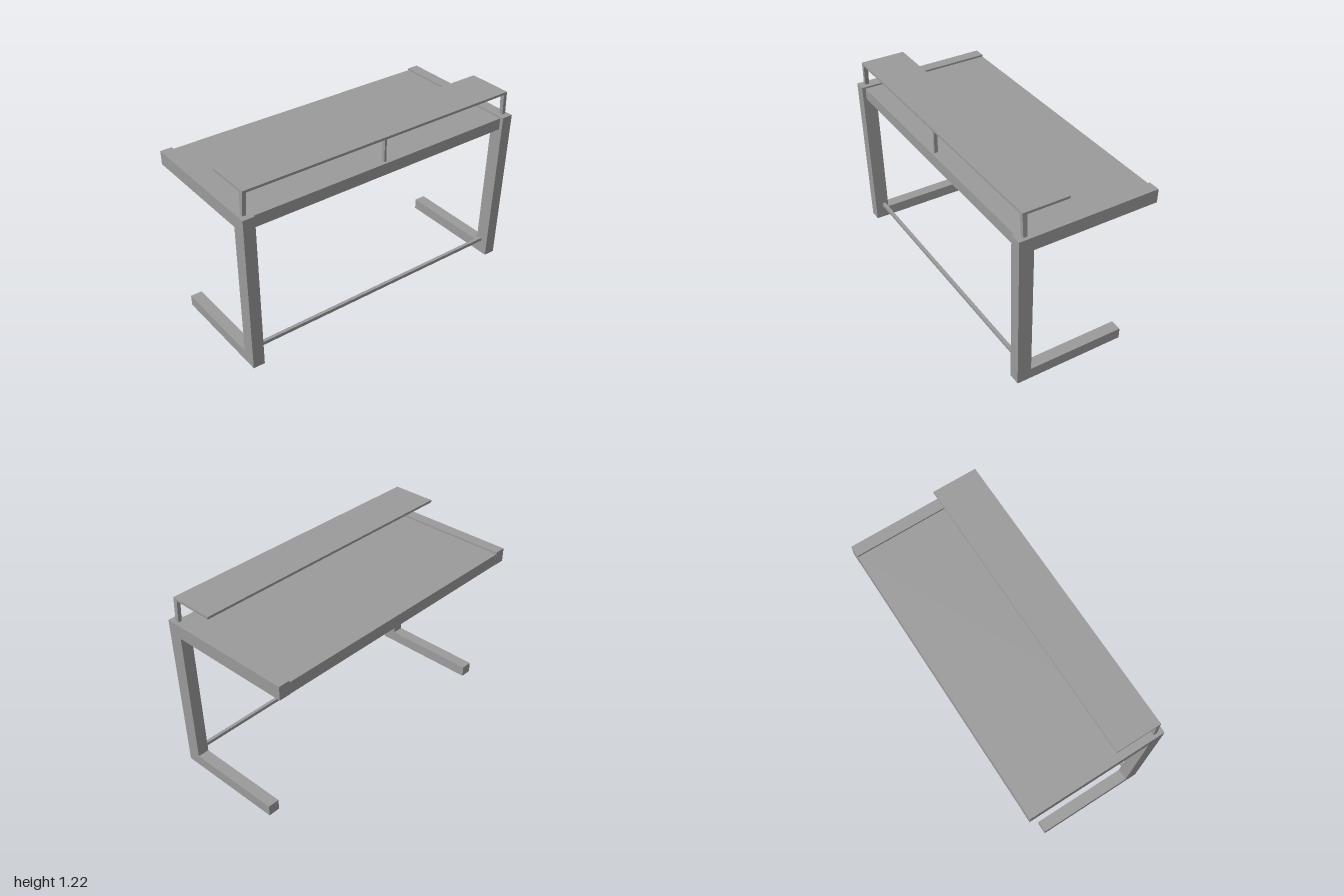
import * as THREE from 'three';

export function createModel() {
  const desk = new THREE.Group();
  desk.name = 'desk';
  const material = new THREE.MeshStandardMaterial({ color: 0x9b9b9b, flatShading: true });

  const add = (name, geometry) => {
    const mesh = new THREE.Mesh(geometry, material);
    mesh.name = name;
    desk.add(mesh);
    return mesh;
  };

  // Box given by its [min, max] range on each axis
  const box = (name, [x0, x1], [y0, y1], [z0, z1]) => {
    const g = new THREE.BoxGeometry(x1 - x0, y1 - y0, z1 - z0);
    g.translate((x0 + x1) / 2, (y0 + y1) / 2, (z0 + z1) / 2);
    return add(name, g);
  };

  // Side profile as [z, y] points, extruded along x and leaning from xBottom to xTop
  const leaningProfile = (name, points, width, xBottom, xTop, yBottom, yTop) => {
    const shape = new THREE.Shape(points.map(([z, y]) => new THREE.Vector2(z, y)));
    const g = new THREE.ExtrudeGeometry(shape, { depth: width, bevelEnabled: false });
    g.translate(0, 0, -width / 2);
    g.rotateY(-Math.PI / 2);
    const p = g.attributes.position;
    for (let i = 0; i < p.count; i++) {
      const t = (p.getY(i) - yBottom) / (yTop - yBottom);
      p.setX(i, p.getX(i) + THREE.MathUtils.lerp(xBottom, xTop, t));
    }
    g.computeVertexNormals();
    return add(name, g);
  };

  // C-shaped frame: foot, leaning leg and top rail
  const frame = [
    [-0.298, 0], [0.44, 0], [0.46, 1.066], [-0.462, 1.068],
    [-0.462, 0.977], [0.364, 0.977], [0.349, 0.073], [-0.298, 0.073],
  ];
  const post = [[0.395, 1.06], [0.421, 1.06], [0.425, 1.21], [0.395, 1.21]];

  for (const [side, s] of [['left', 1], ['right', -1]]) {
    leaningProfile(side + 'Frame', frame, 0.077, s * 0.9425, s * 0.9615, 0, 1.067);
    leaningProfile(side + 'ShelfPost', post, 0.024, s * 0.967, s * 0.96, 1.06, 1.21);
  }

  // Desktop set between the rails
  box('desktop', [-0.922, 0.922], [0.978, 1.055], [-0.461, 0.436]);

  // Raised shelf with its slim middle post
  box('shelf', [-0.972, 0.972], [1.207, 1.223], [0.125, 0.425]);
  box('middleShelfPost', [-0.007, 0.007], [1.05, 1.21], [0.397, 0.42]);

  // Crossbar joining the legs
  box('crossbar', [-0.91, 0.91], [0.092, 0.114], [0.37, 0.392]);

  return desk;
}
